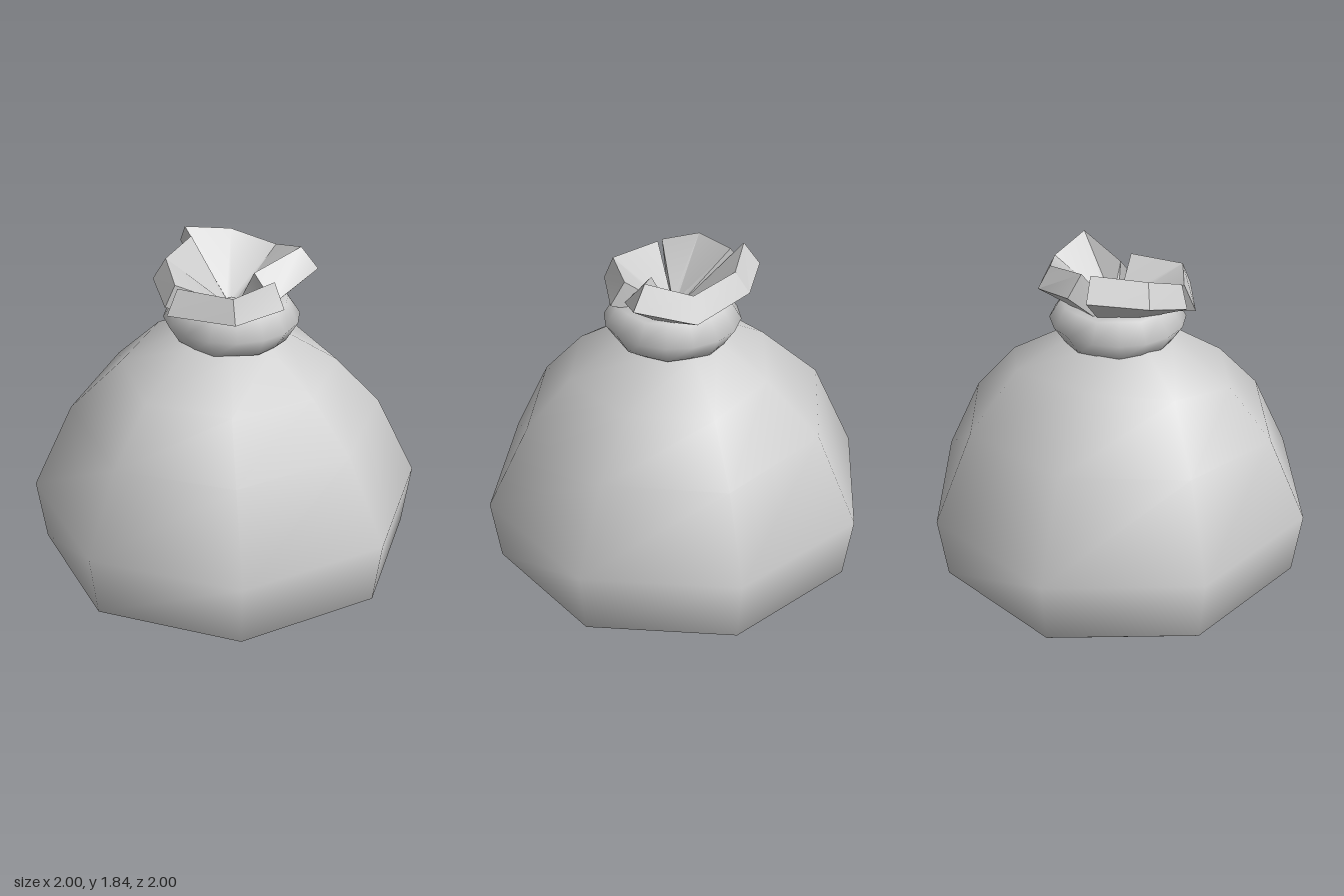
import * as THREE from 'three';
import { toCreasedNormals } from 'three/addons/utils/BufferGeometryUtils.js';

const cloth = new THREE.MeshStandardMaterial({ color: 0xcccccc, side: THREE.DoubleSide });
cloth.name = 'grey cloth';

// Skin a grid of points: rows run upwards, columns run from the front towards +x
function skin(rows, { wrapColumns = false, wrapRows = false, capEnds = false } = {}) {
  const n = rows[0].length, m = rows.length, index = [];
  const at = (r, c) => (r % m) * n + (c % n);
  for (let r = 0; r < (wrapRows ? m : m - 1); r++) {
    for (let c = 0; c < (wrapColumns ? n : n - 1); c++) {
      index.push(at(r, c), at(r, c + 1), at(r + 1, c + 1), at(r, c), at(r + 1, c + 1), at(r + 1, c));
    }
  }
  if (capEnds) {
    for (let r = 1; r < m - 1; r++) {
      index.push(at(0, 0), at(r, 0), at(r + 1, 0));
      index.push(at(0, n - 1), at(r + 1, n - 1), at(r, n - 1));
    }
  }
  const g = new THREE.BufferGeometry();
  g.setAttribute('position', new THREE.Float32BufferAttribute(rows.flat(2), 3));
  g.setIndex(index);
  g.computeVertexNormals();
  return g;
}

function ring(sides, point) {
  return Array.from({ length: sides }, (_, i) => point((i / sides) * Math.PI * 2, i));
}

function part(name, geometry) {
  const mesh = new THREE.Mesh(geometry, cloth);
  mesh.name = name;
  return mesh;
}

// Eight-sided sack; upper rings rise and draw in towards the back
// [side radius, front radius, back radius, front y, side y, back y]
function sackBody() {
  const rings = [
    [0.001, 0.001, 0.001, 0, 0, 0],
    [0.34, 0.34, 0.34, 0, 0, 0],
    [0.73, 0.73, 0.73, 0.025, 0.025, 0.025],
    [0.96, 0.96, 0.96, 0.21, 0.21, 0.21],
    [1, 1, 1, 0.54, 0.54, 0.54],
    [0.805, 0.78, 0.77, 0.96, 0.95, 1.02],
    [0.58, 0.55, 0.46, 1.2, 1.21, 1.3],
    [0.28, 0.29, 0.2, 1.38, 1.39, 1.42],
    [0.12, 0.12, 0.1, 1.47, 1.47, 1.47],
  ];
  const rows = rings.map(([rs, rf, rb, yf, ys, yb]) => ring(8, (a) => {
    const c = Math.cos(a), k = Math.abs(c);
    return [
      Math.sin(a) * rs,
      ys + ((c > 0 ? yf : yb) - ys) * k,
      c * (c > 0 ? rf : rb),
    ];
  }));
  return part('sackBody', skin(rows, { wrapColumns: true }));
}

// Plump gathered band around the neck
function neckBand() {
  const rows = Array.from({ length: 6 }, (_, j) => {
    const t = (j / 6) * Math.PI * 2;
    return ring(16, (a, i) => {
      const r = 0.215 + 0.123 * Math.cos(t);
      const y = 1.48 + 0.118 * Math.sin(t) * (i % 2 ? 1 : 0.9);
      return [0.015 + Math.sin(a) * r, y, 0.025 + Math.cos(a) * r];
    });
  });
  return part('neckBand', skin(rows, { wrapColumns: true, wrapRows: true }));
}

// One flared flap of the open mouth, from its inner and outer rim points
function flap(name, inner, outer) {
  const base = (radius, y) => inner.map(([x, , z]) => {
    const a = Math.atan2(x - 0.02, z - 0.02);
    return [0.02 + Math.sin(a) * radius, y, 0.02 + Math.cos(a) * radius];
  });
  const rows = [base(0.2, 1.55), outer, inner, base(0.04, 1.55)];
  return part(name, toCreasedNormals(skin(rows, { wrapRows: true, capEnds: true }), 0.6));
}

export function createModel() {
  const model = new THREE.Group();
  model.name = 'tiedSack';
  model.add(sackBody(), neckBand());

  const mouth = new THREE.Group();
  mouth.name = 'mouthFrill';
  mouth.add(
    flap('leftFlap',
      [[0.045, 1.72, 0.14], [0.28, 1.81, 0.24], [0.35, 1.75, 0.03], [0.27, 1.8, -0.2], [0.06, 1.84, -0.32]],
      [[0.035, 1.6, 0.27], [0.33, 1.7, 0.31], [0.41, 1.63, 0.03], [0.31, 1.7, -0.26], [0.1, 1.74, -0.39]]),
    flap('rightBackFlap',
      [[0.04, 1.81, -0.26], [-0.22, 1.79, -0.19], [-0.33, 1.73, -0.03]],
      [[0.03, 1.7, -0.34], [-0.25, 1.68, -0.25], [-0.37, 1.62, -0.06]]),
    flap('rightFrontFlap',
      [[-0.335, 1.72, -0.01], [-0.24, 1.71, 0.25], [0.04, 1.71, 0.27]],
      [[-0.4, 1.6, -0.02], [-0.27, 1.595, 0.29], [0.03, 1.59, 0.34]]),
  );

  // Small pinched floor inside the mouth
  const floor = part('mouthFloor', new THREE.CylinderGeometry(0.1, 0.1, 0.06, 8));
  floor.position.set(0.02, 1.52, 0.02);
  mouth.add(floor);
  model.add(mouth);
  return model;
}
